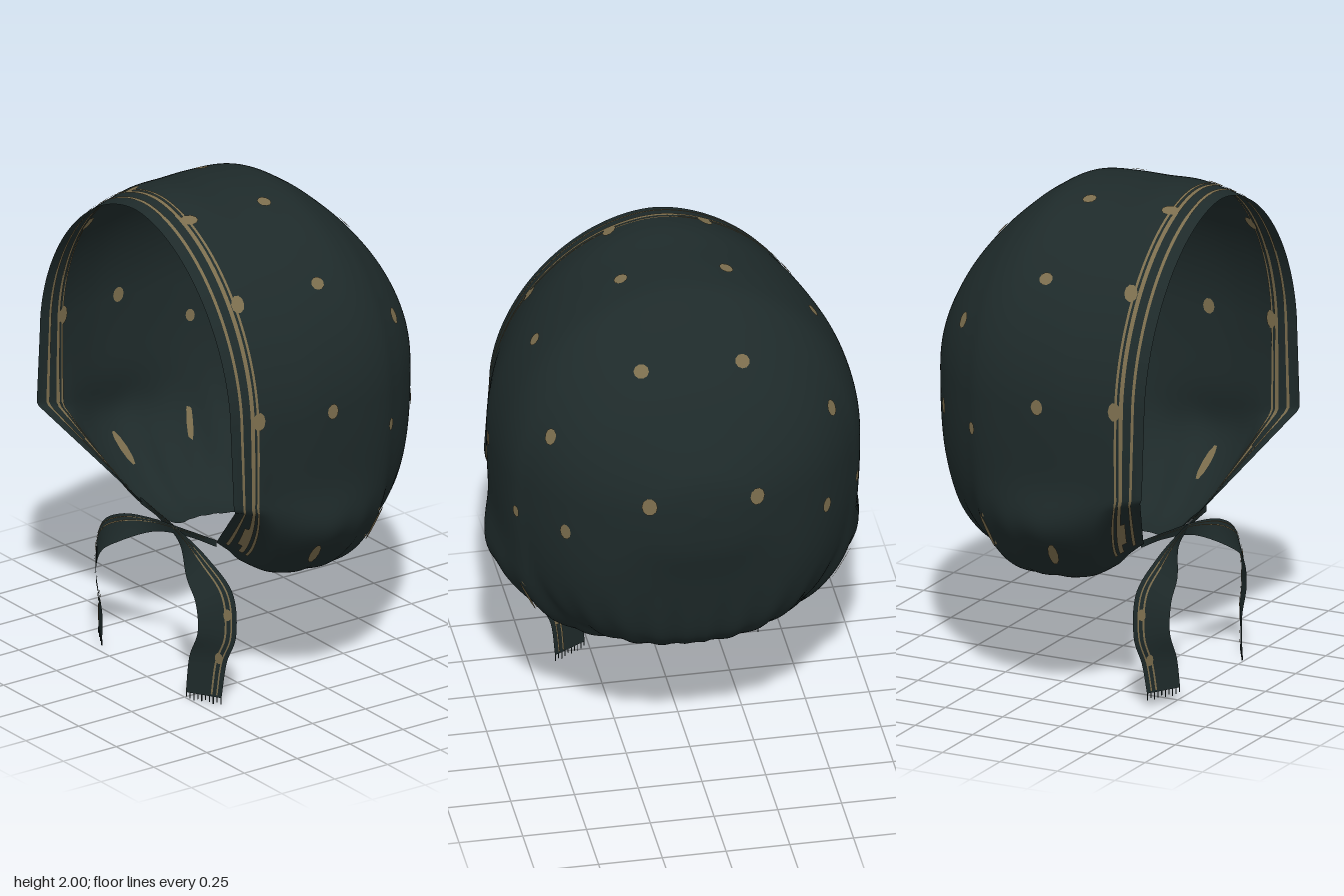
import * as THREE from 'three';

const cloth = new THREE.MeshStandardMaterial({ color: 0x1e2a2a, side: THREE.DoubleSide });
cloth.name = 'dark teal cloth';
const tan = new THREE.MeshStandardMaterial({ color: 0x7b6d4d, side: THREE.DoubleSide });
tan.name = 'tan print';

// hood sections from face rim to back: z, top y, bottom y, half width, bottom half width, bottom z
const ROWS = [
  [0.555, 1.965, 0.61, 0.635, 0.25, 0.35],
  [0.50, 1.98, 0.585, 0.64, 0.25, 0.32],
  [0.45, 1.99, 0.56, 0.65, 0.25, 0.29],
  [0.35, 2.0, 0.51, 0.68, 0.25, 0.24],
  [0.22, 1.99, 0.475, 0.71, 0.25, 0.17],
  [0.08, 1.985, 0.47, 0.715, 0.27, 0.07],
  [-0.05, 1.97, 0.465, 0.705, 0.25, -0.05],
  [-0.15, 1.915, 0.47, 0.68, 0.16, -0.15],
  [-0.22, 1.86, 0.485, 0.64, 0, -0.22],
  [-0.30, 1.785, 0.515, 0.585, 0, -0.30],
  [-0.38, 1.69, 0.57, 0.51, 0, -0.38],
  [-0.45, 1.58, 0.665, 0.41, 0, -0.44],
  [-0.51, 1.47, 0.93, 0.28, 0, -0.505],
  [-0.545, 1.38, 1.08, 0.16, 0, -0.545],
  [-0.56, 1.25, 1.25, 0, 0, -0.56],
];
const LAST = ROWS.length - 1;
const spline = (pts) => new THREE.CatmullRomCurve3(pts.map((p) => new THREE.Vector3(...p)), false, 'catmullrom');
const heights = spline(ROWS.map((r) => r.slice(0, 3)));
const widths = spline(ROWS.map((r) => r.slice(3)));
const { clamp, lerp } = THREE.MathUtils;
const bell = (x, mid, size) => Math.exp(-(((x - mid) / size) ** 2));

// hood surface: u runs -1..1 over the head, v runs 0..1 from rim to back
function hood(u, v) {
  const t = clamp(v, 0, 1);
  const h = heights.getPoint(t), w = widths.getPoint(t);
  const half = Math.max(0, w.x), inner = Math.max(0, w.y);
  const k = Math.min(Math.abs(u), 1) * 2, side = Math.sign(u), mid = Math.min(1.25, h.y);
  const p = new THREE.Vector3();
  if (k <= 1) {
    // crown, slightly pointed at the face and squarer at the back
    const a = k * Math.PI / 2, e = Math.max(0.92, 0.99 + 0.18 * h.x);
    p.set(half * Math.pow(Math.sin(a), e), mid + (h.y - mid) * Math.pow(Math.max(0, Math.cos(a)), e), h.x);
  } else {
    const a = (k - 1) * Math.PI / 2, e = 2 / 2.6;
    const drop = Math.pow(Math.sin(a), e);
    // full cheek below a slight waist
    const round = inner + (half - inner) * Math.pow(Math.max(0, Math.cos(a)), e)
      + 0.062 * bell(drop, 0.62, 0.17) * bell(h.x, 0.15, 0.25);
    // straight-cut cheek corner at the face rim
    const cut = drop < 0.515 ? half + 0.022 * drop / 0.515 : lerp(half + 0.022, inner, (drop - 0.515) / 0.485);
    p.set(lerp(round, cut, clamp((h.x - 0.38) / 0.15, 0, 1)), mid - (mid - h.z) * drop,
      h.x + (w.z - h.x) * Math.max(0, (drop - 0.5) / 0.5));
  }
  p.x *= side;
  // gathers toward the neck
  const fade = clamp((0.85 - p.y) / 0.3, 0, 1) * clamp((0.3 - p.z) / 0.3, 0, 1);
  const f = 1 + 0.014 * fade * Math.sin(28 * Math.atan2(Math.abs(p.x), -(p.z - 0.1)));
  p.x *= f;
  p.z = 0.1 + (p.z - 0.1) * f;
  return p;
}

function normalAt(fn, a, b) {
  const e = 0.003;
  const da = fn(a + e, b).sub(fn(a - e, b)), db = fn(a, b + e).sub(fn(a, b - e));
  return da.cross(db).normalize();
}

// grid mesh over a range of a surface, lifted along its normal
function patch(name, fn, [a0, a1], [b0, b1], na, nb, material, lift = 0) {
  const pos = [], index = [];
  for (let i = 0; i <= na; i++) {
    for (let j = 0; j <= nb; j++) {
      const a = a0 + (a1 - a0) * i / na, b = b0 + (b1 - b0) * j / nb;
      const p = fn(a, b);
      if (lift) p.addScaledVector(normalAt(fn, a, b), lift);
      pos.push(p.x, p.y, p.z);
      if (i < na && j < nb) {
        const q = i * (nb + 1) + j, r = q + nb + 1;
        index.push(q, r, q + 1, q + 1, r, r + 1);
      }
    }
  }
  const geo = new THREE.BufferGeometry();
  geo.setAttribute('position', new THREE.Float32BufferAttribute(pos, 3));
  geo.setIndex(index);
  geo.computeVertexNormals();
  const mesh = new THREE.Mesh(geo, material);
  mesh.name = name;
  return mesh;
}

// printed dot on both faces of the cloth
const dotShape = new THREE.CircleGeometry(1, 10);
function dot(group, fn, a, b, rx, ry) {
  const p = fn(a, b), n = normalAt(fn, a, b);
  for (const s of [1, -1]) {
    const m = new THREE.Mesh(dotShape, tan);
    m.name = 'dot';
    m.scale.set(rx, ry, 1);
    m.position.copy(p).addScaledVector(n, 0.0045 * s);
    m.lookAt(m.position.clone().addScaledVector(n, s));
    group.add(m);
  }
}

// surface coordinates closest to a point on the left half
function nearest(target) {
  let best = [0, 0], d = Infinity;
  for (let i = 0; i <= 160; i++) {
    for (let j = 2; j <= 158; j++) {
      const q = hood(i / 160, j / 160).distanceToSquared(target);
      if (q < d) { d = q; best = [i / 160, j / 160]; }
    }
  }
  return best;
}

function makeTie(side) {
  const group = new THREE.Group();
  group.name = side > 0 ? 'leftTie' : 'rightTie';
  const end = side > 0 ? 0.03 : 0.06, shift = side > 0 ? 0 : 0.012;
  const path = spline([[-0.26, 0.61, 0.345], [-0.1, 0.605, 0.37], [0.08, 0.585, 0.4], [0.25, 0.525, 0.44],
    [0.37, 0.44, 0.445], [0.395, 0.3, 0.45], [0.35, 0.18, 0.46], [0.335, end, 0.47]]);
  const across = spline([[0, 0.014, 0], [0, 0.016, 0.005], [0.005, 0.026, 0], [0.03, 0.042, -0.03],
    [0.06, 0.03, -0.045], [0.065, 0.004, -0.045], [0.068, 0, -0.04], [0.065, 0, -0.038]]);
  const ribbon = (t, s) => {
    const k = clamp(t, 0, 1);
    const p = path.getPoint(k).addScaledVector(across.getPoint(k), s);
    return p.set(p.x * side, p.y, p.z + shift);
  };
  group.add(patch('tieRibbon', ribbon, [0, 1], [-1, 1], 48, 4, cloth));
  for (const lift of [0.004, -0.004]) {
    group.add(patch('tieStripe', ribbon, [0.05, 0.99], [0.4, 0.5], 48, 1, tan, lift));
    group.add(patch('tieStripe', ribbon, [0.05, 0.99], [0.7, 0.78], 48, 1, tan, lift));
  }
  for (const t of [0.64, 0.84]) dot(group, ribbon, t, 0.55, 0.017, 0.024);
  // frayed end
  for (let i = 0; i < 10; i++) {
    const len = 0.018 + 0.012 * ((i * 7) % 5) / 4;
    const thread = new THREE.Mesh(new THREE.BoxGeometry(0.003, len, 0.003), cloth);
    thread.name = 'fringe';
    thread.position.copy(ribbon(1, -0.97 + i * 1.94 / 9));
    thread.position.y -= len / 2;
    group.add(thread);
  }
  return group;
}

export function createModel() {
  const model = new THREE.Group();
  model.name = 'bonnet';
  model.add(patch('hoodShell', hood, [-1, 1], [0, 1], 200, 100, cloth));

  for (const lift of [0.004, -0.004]) {
    // border stripes, section index and width
    for (const [row, width] of [[0.76, 0.22], [1.7, 0.26], [2.08, 0.11]]) {
      model.add(patch('borderStripe', hood, [-0.88, 0.88], [row / LAST, (row + width) / LAST], 140, 1, tan, lift));
    }
    // broad print on the cheeks
    for (const s of [1, -1]) {
      model.add(patch('cheekPrint', hood, [0.71 * s, 0.82 * s], [1.35 / LAST, 1.9 / LAST], 12, 2, tan, lift));
    }
  }

  // scattered dots, mirrored: x, y, z, radii; the last two are long ones in the neck folds
  const dots = new THREE.Group();
  dots.name = 'dots';
  const list = [
    [0.21, 1.31, -0.53, 0.031, 0.037], [0.21, 1.81, -0.32, 0.03, 0.029], [0.55, 1.51, -0.27, 0.026, 0.034],
    [0.49, 1.14, -0.36, 0.024, 0.034], [0.65, 1.13, -0.17, 0.018, 0.026], [0.2, 1.95, 0.09, 0.028, 0.028],
    [0.55, 1.73, 0.085, 0.028, 0.027], [0.72, 1.27, 0.13, 0.025, 0.032], [0.18, 1.95, 0.435, 0.036, 0.026],
    [0.51, 1.72, 0.435, 0.026, 0.036], [0.66, 1.28, 0.435, 0.025, 0.038],
    [0.66, 0.63, 0.17, 0.02, 0.08], [0.62, 0.7, -0.14, 0.013, 0.085],
  ];
  for (const [x, y, z, rx, ry] of list) {
    const [u, v] = nearest(new THREE.Vector3(x, y, z));
    for (const s of [1, -1]) dot(dots, hood, u * s, v, rx, ry);
  }
  model.add(dots, makeTie(1), makeTie(-1));
  return model;
}
